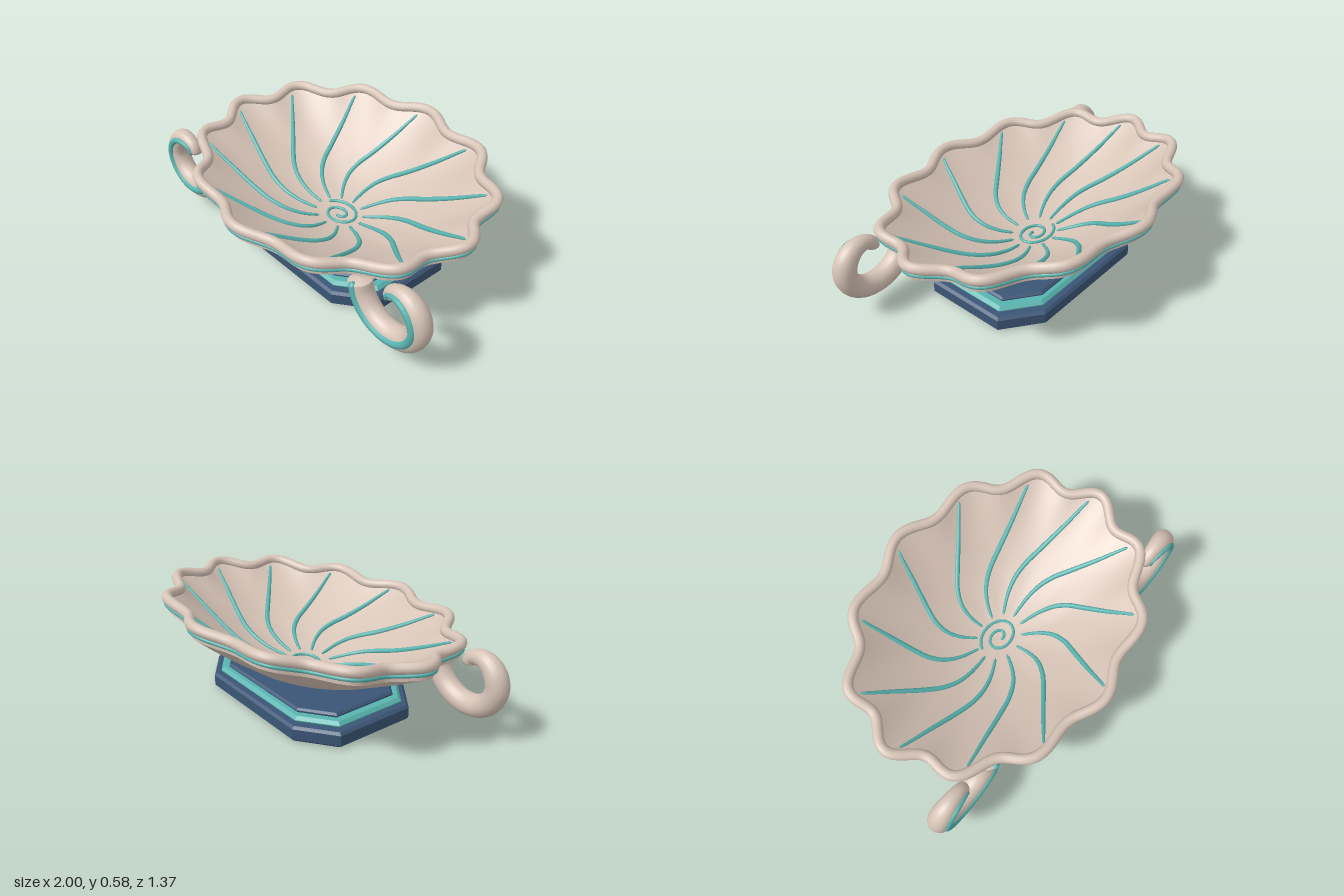
import * as THREE from 'three';
import { mergeVertices } from 'three/addons/utils/BufferGeometryUtils.js';

const LOBES = 12, RX = 0.825, RZ = 0.63;
const deg = Math.PI / 180;

// Height of the tilted, wavy rim at an angle (counter-clockwise seen from above)
const rimY = (a) => 0.49 + 0.083 * 0.66 * Math.sin(a) + 0.01 * Math.cos(LOBES * a);

// Point on the scalloped plan: t = 0 at the centre, 1 at the rim
function plan(t, a, y, spread = 0) {
  const k = t * (1 + 0.045 * t * t * Math.cos(LOBES * a));
  return new THREE.Vector3(Math.cos(a) * (RX * k + spread), y, -Math.sin(a) * (RZ * k + spread));
}
const inner = (t, a, lift = 0) => plan(t, a, 0.175 + (rimY(a) - 0.175) * t ** 1.8 + lift);
const outer = (t, a) => plan(t, a, 0.132 + (rimY(a) - 0.065 - 0.132) * t ** 1.8);

function smooth(geometry) {
  geometry.deleteAttribute('uv');
  geometry.deleteAttribute('normal');
  const merged = mergeVertices(geometry, 1e-5);
  merged.computeVertexNormals();
  return merged;
}

// Sheet running around the bowl, from fn(0, angle) to fn(1, angle)
function sheet(fn, rows, cols = 192) {
  const pos = [], index = [];
  for (let i = 0; i <= rows; i++) {
    for (let j = 0; j < cols; j++) pos.push(...fn(i / rows, (j / cols) * Math.PI * 2).toArray());
  }
  for (let i = 0; i < rows; i++) {
    for (let j = 0; j < cols; j++) {
      const a = i * cols + j, b = i * cols + ((j + 1) % cols);
      index.push(a, a + cols, b, b, a + cols, b + cols);
    }
  }
  const g = new THREE.BufferGeometry();
  g.setAttribute('position', new THREE.Float32BufferAttribute(pos, 3));
  g.setIndex(index);
  g.computeVertexNormals();
  return g;
}

// Tube whose radius follows a rule along its length, closed at both ends
function taperTube(points, radius, steps, sides) {
  const curve = new THREE.CatmullRomCurve3(points);
  const g = new THREE.TubeGeometry(curve, steps, 1, sides, false);
  const p = g.attributes.position, v = new THREE.Vector3();
  for (let i = 0; i <= steps; i++) {
    const c = curve.getPointAt(i / steps);
    const r = i === 0 || i === steps ? 0.0005 : radius(i / steps);
    for (let j = 0; j <= sides; j++) {
      const n = i * (sides + 1) + j;
      v.fromBufferAttribute(p, n).sub(c).multiplyScalar(r).add(c);
      p.setXYZ(n, v.x, v.y, v.z);
    }
  }
  return smooth(g);
}

// Closed tube that follows the rim
function rimTube(drop, spread, radius) {
  const pts = [];
  for (let i = 0; i < 144; i++) {
    const a = (i / 144) * Math.PI * 2;
    pts.push(plan(1, a, rimY(a) - drop, spread));
  }
  return new THREE.TubeGeometry(new THREE.CatmullRomCurve3(pts, true), 288, radius, 12, true);
}

// Bevelled slab with cut corners
function slab(hx, hz, cx, cz, y0, y1, bevel) {
  const s = new THREE.Shape([
    [hx, -cz], [hx, cz], [cx, hz], [-cx, hz], [-hx, cz], [-hx, -cz], [-cx, -hz], [cx, -hz],
  ].map(([x, y]) => new THREE.Vector2(x, y)));
  const g = new THREE.ExtrudeGeometry(s, {
    depth: y1 - y0 - 2 * bevel, bevelEnabled: true, bevelSegments: 1,
    bevelThickness: bevel, bevelSize: bevel, bevelOffset: -bevel,
  });
  g.rotateX(-Math.PI / 2);
  g.translate(0, y0 + bevel, 0);
  return g;
}

export function createModel() {
  const group = new THREE.Group();
  const clay = new THREE.MeshStandardMaterial({ name: 'clay beige', color: 0xd6c3b6, side: THREE.DoubleSide });
  const teal = new THREE.MeshStandardMaterial({ name: 'teal', color: 0x58b3af });
  const blue = new THREE.MeshStandardMaterial({ name: 'slate blue', color: 0x3b5575 });
  const add = (name, geometry, material, parent = group) => {
    const m = new THREE.Mesh(geometry, material);
    m.name = name;
    parent.add(m);
    return m;
  };

  // Stepped base
  add('plinth', slab(0.54, 0.365, 0.35, 0.22, 0, 0.082, 0.013), blue);
  add('plinthBand', slab(0.505, 0.333, 0.33, 0.2, 0.08, 0.116, 0.016), teal);
  add('plinthTop', slab(0.46, 0.3, 0.3, 0.18, 0.112, 0.138, 0.01), blue);

  // Bowl shell
  add('bowlInside', sheet((t, a) => inner(Math.max(t, 0.001), a), 36), clay);
  add('bowlOutside', sheet((t, a) => outer(Math.max(1 - t, 0.001), a), 36), clay);
  add('bowlEdge', sheet((t, a) => plan(1, a, rimY(a) - 0.065 * t), 1), clay);
  add('rim', rimTube(0, 0, 0.027), clay);
  add('rimLine', rimTube(0.033, 0.008, 0.01), teal);

  // Curved ribs inside the bowl
  const sweep = new THREE.CatmullRomCurve3([
    [0.16, 36], [0.27, 35], [0.38, 31.5], [0.5, 24.5], [0.62, 17], [0.8, 8.5], [0.955, 3.5],
  ].map(([t, d]) => new THREE.Vector3(t, d / 30, 0)));
  const ribs = new THREE.Group();
  ribs.name = 'ribs';
  group.add(ribs);
  for (let n = 0; n < LOBES; n++) {
    const pts = sweep.getPoints(30).map((s) =>
      inner(s.x, s.y * 30 * deg + (n / LOBES) * Math.PI * 2, 0.004));
    add('rib', taperTube(pts, (u) => 0.007 + 0.006 * Math.sin(Math.PI * u), 48, 8), teal, ribs);
  }

  // Spiral at the centre of the bowl
  const spiral = [];
  for (let i = 0; i <= 40; i++) {
    const u = i / 40;
    spiral.push(inner(0.145 - 0.125 * u, (165 - 640 * u) * deg, 0.004));
  }
  add('centreSpiral', taperTube(spiral, () => 0.008, 90, 8), teal);

  // Scroll handles, mirrored
  const path = [
    [0.565, 0.338], [0.585, 0.265], [0.632, 0.2], [0.7, 0.16], [0.77, 0.148], [0.85, 0.165], [0.912, 0.215],
    [0.941, 0.29], [0.922, 0.36], [0.872, 0.405], [0.812, 0.41], [0.767, 0.385], [0.762, 0.352],
  ];
  const fade = (u) => 1 - 0.42 * THREE.MathUtils.smoothstep(u, 0.7, 1);
  for (const side of [1, -1]) {
    const handle = new THREE.Group();
    handle.name = side > 0 ? 'leftHandle' : 'rightHandle';
    group.add(handle);
    const at = (dz) => path.map(([x, y], i) =>
      new THREE.Vector3(side * x, y, 0.38 + dz * fade(i / (path.length - 1))));
    add('handleScroll', taperTube(at(0), (u) => 0.058 * fade(u), 80, 20), clay, handle);
    add('handleStripe', taperTube(at(0.048), (u) => 0.02 * fade(u), 80, 10), teal, handle);
  }
  return group;
}
